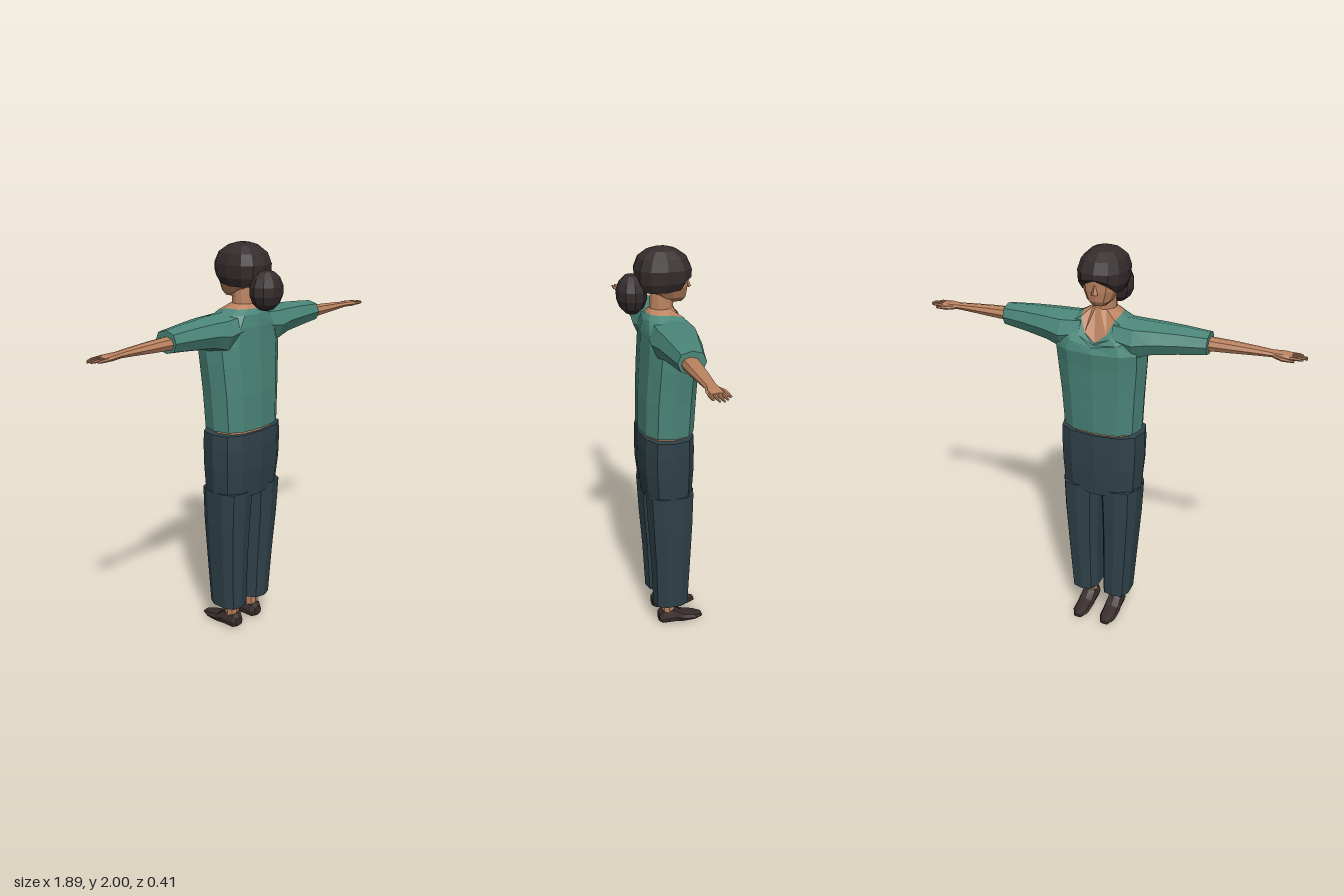
import * as THREE from 'three';

const mat = (name, color) => Object.assign(new THREE.MeshStandardMaterial({ color }), { name });
const V = (x, y, z) => new THREE.Vector3(x, y, z);
const soft = (v, p) => Math.sign(v) * Math.pow(Math.abs(v), p);

// Unit cross-section, starting at the front; p below 1 makes it boxier
function oval(n, p = 0.8) {
  return Array.from({ length: n }, (_, k) => {
    const a = (k / n) * Math.PI * 2;
    return [soft(Math.sin(a), p), soft(Math.cos(a), p), Math.cos(a)];
  });
}
// Horizontal ring from zf (front, -z) to zb (back); lift raises the front middle
const ringY = (y, hx, zf, zb, { lift = 0, cx = 0, n = 12, p = 0.8 } = {}) =>
  oval(n, p).map(([s, c, f]) =>
    V(cx + hx * s, y + lift * Math.max(0, f) ** 3, (zf + zb) / 2 + ((zf - zb) / 2) * c));
// Ring across an arm, facing along x
const ringX = (x, cy, hy, cz, hz, n = 8) =>
  oval(n, 0.85).map(([s, c]) => V(x, cy + hy * s, cz + hz * c));
// Ring across a shoe, facing along z
const ringZ = (z, cx, hx, y0, y1) =>
  oval(8, 0.75).map(([s, c]) => V(cx + hx * s, (y0 + y1) / 2 + ((y1 - y0) / 2) * c, z));

// Closed faceted skin over a list of rings, always facing outward
function loft(rings) {
  const tris = [];
  const n = rings[0].length;
  const mid = (r) => r.reduce((m, q) => m.add(q), V(0, 0, 0)).divideScalar(n);
  const first = rings[0], last = rings[rings.length - 1];
  const m0 = mid(first), m1 = mid(last);
  for (let k = 0; k < n; k++) {
    const j = (k + 1) % n;
    for (let i = 0; i < rings.length - 1; i++) {
      const a = rings[i], b = rings[i + 1];
      tris.push([a[k], a[j], b[j]], [a[k], b[j], b[k]]);
    }
    tris.push([m0, first[j], first[k]], [m1, last[k], last[j]]);
  }
  const volume = tris.reduce((s, [a, b, c]) => s + a.dot(b.clone().cross(c)), 0);
  const pts = tris.flatMap(([a, b, c]) => (volume < 0 ? [a, c, b] : [a, b, c]));
  const g = new THREE.BufferGeometry().setFromPoints(pts);
  g.computeVertexNormals();
  return g;
}
const mirror = (rings, side) => rings.map((r) => r.map((q) => V(q.x * side, q.y, q.z)));

export function createModel() {
  const model = new THREE.Group();
  model.name = 'standingFigure';
  const skin = mat('skin', 0xbb8360);
  const shirt = mat('teal shirt', 0x4b8679);
  const trouser = mat('dark slate trousers', 0x30424a);
  const hair = mat('dark hair', 0x352c2d);
  const leather = mat('dark shoes', 0x382d2c);
  const add = (name, geometry, material) => {
    const m = new THREE.Mesh(geometry, material);
    m.name = name;
    model.add(m);
    return m;
  };
  const both = (name, rings, material) => {
    add('left' + name, loft(rings), material);
    add('right' + name, loft(mirror(rings, -1)), material);
  };

  // Shirt body with a V neckline
  const collar = ringY(1.7, 0.093, -0.135, 0.072, { lift: -0.12 });
  add('shirtBody', loft([
    ringY(1.12, 0.198, -0.152, 0.116),
    ringY(1.3, 0.208, -0.16, 0.114),
    ringY(1.46, 0.222, -0.168, 0.105),
    ringY(1.54, 0.226, -0.178, 0.1),
    ringY(1.62, 0.205, -0.168, 0.097, { lift: -0.05 }),
    ringY(1.675, 0.14, -0.15, 0.088, { lift: -0.1 }),
    collar,
  ]), shirt);
  both('Sleeve', [
    ringX(0.08, 1.61, 0.078, -0.025, 0.11),
    ringX(0.18, 1.595, 0.09, -0.027, 0.118),
    ringX(0.26, 1.606, 0.075, -0.022, 0.105),
    ringX(0.38, 1.61, 0.064, -0.012, 0.085),
    ringX(0.508, 1.611, 0.052, -0.004, 0.065),
  ], shirt);

  // Bare waist between shirt and trousers
  add('waist', loft([
    ringY(1.08, 0.175, -0.135, 0.1), ringY(1.13, 0.175, -0.135, 0.1),
  ]), skin);

  // Trousers
  add('trouserHips', loft([
    ringY(0.77, 0.2, -0.142, 0.1, { p: 0.75 }),
    ringY(0.92, 0.212, -0.15, 0.118, { p: 0.75 }),
    ringY(1.03, 0.215, -0.15, 0.12, { p: 0.75 }),
    ringY(1.105, 0.213, -0.147, 0.116, { p: 0.75 }),
  ]), trouser);
  const leg = (y, inner, outer, zf, zb) =>
    ringY(y, (outer - inner) / 2, zf, zb, { cx: (inner + outer) / 2, n: 10, p: 0.75 });
  both('TrouserLeg', [
    leg(0.14, 0.014, 0.162, -0.125, 0.062),
    leg(0.4, 0.013, 0.181, -0.133, 0.075),
    leg(0.62, 0.009, 0.196, -0.14, 0.092),
    leg(0.8, 0.0, 0.203, -0.143, 0.103),
  ], trouser);

  // Ankles and slip-on shoes
  both('Ankle', [
    ringY(0.05, 0.034, -0.055, 0.012, { cx: 0.075, n: 8 }),
    ringY(0.2, 0.037, -0.058, 0.018, { cx: 0.075, n: 8 }),
  ], skin);
  both('Shoe', [
    ringZ(0.03, 0.075, 0.028, 0.012, 0.062),
    ringZ(0.012, 0.075, 0.04, 0, 0.084),
    ringZ(-0.05, 0.075, 0.044, 0, 0.09),
    ringZ(-0.1, 0.076, 0.046, 0, 0.052),
    ringZ(-0.165, 0.077, 0.043, 0.003, 0.036),
    ringZ(-0.208, 0.077, 0.022, 0.008, 0.024),
  ], leather);

  // Arms and flat palms
  both('Arm', [
    ringX(0.46, 1.605, 0.034, 0.003, 0.042),
    ringX(0.6, 1.606, 0.027, 0.004, 0.038),
    ringX(0.72, 1.606, 0.019, 0.004, 0.031),
    ringX(0.79, 1.605, 0.014, 0.004, 0.027),
    ringX(0.84, 1.604, 0.014, 0.007, 0.036),
    ringX(0.88, 1.603, 0.01, 0.008, 0.035),
  ], skin);
  // Fingers: tip position and sideways offset
  [[0.93, -0.019], [0.946, 0.0], [0.942, 0.018], [0.92, 0.036]].forEach(([tip, z], i) => {
    both('Finger' + (i + 1), [
      ringX(0.865, 1.603, 0.008, z, 0.008, 6),
      ringX(0.905, 1.603, 0.007, z, 0.007, 6),
      ringX(tip, 1.602, 0.004, z, 0.004, 6),
    ], skin);
  });
  both('Thumb', [
    ringX(0.8, 1.602, 0.009, -0.015, 0.011, 6),
    ringX(0.84, 1.6, 0.009, -0.036, 0.011, 6),
    ringX(0.895, 1.599, 0.005, -0.042, 0.006, 6),
  ], skin);

  // Neck filling the collar, then head
  add('neck', loft([
    collar,
    ringY(1.72, 0.056, -0.062, 0.055, { p: 1 }),
    ringY(1.82, 0.054, -0.065, 0.05, { p: 1 }),
  ]), skin);
  add('head', loft([
    ringY(1.75, 0.035, -0.106, -0.03),
    ringY(1.772, 0.06, -0.12, 0.02),
    ringY(1.82, 0.084, -0.127, 0.07),
    ringY(1.88, 0.094, -0.128, 0.09),
    ringY(1.93, 0.085, -0.108, 0.085),
  ]), skin);
  const nose = add('nose', new THREE.ConeGeometry(0.017, 0.055, 4).toNonIndexed(), skin);
  nose.geometry.computeVertexNormals();
  nose.position.set(0, 1.835, -0.128);
  nose.rotation.x = 0.15;

  // Hair cap with a parted fringe, and the bun
  add('hairCap', loft([
    ringY(1.805, 0.092, -0.125, 0.108, { lift: 0.065 }),
    ringY(1.845, 0.11, -0.146, 0.125, { lift: 0.035 }),
    ringY(1.905, 0.114, -0.146, 0.128),
    ringY(1.955, 0.099, -0.122, 0.108),
    ringY(1.988, 0.062, -0.075, 0.064),
    ringY(2.0, 0.026, -0.035, 0.025),
  ]), hair);
  const bun = new THREE.SphereGeometry(1, 10, 7).toNonIndexed();
  bun.scale(0.09, 0.096, 0.073);
  bun.computeVertexNormals();
  add('hairBun', bun, hair).position.set(0, 1.79, 0.138);

  return model;
}
